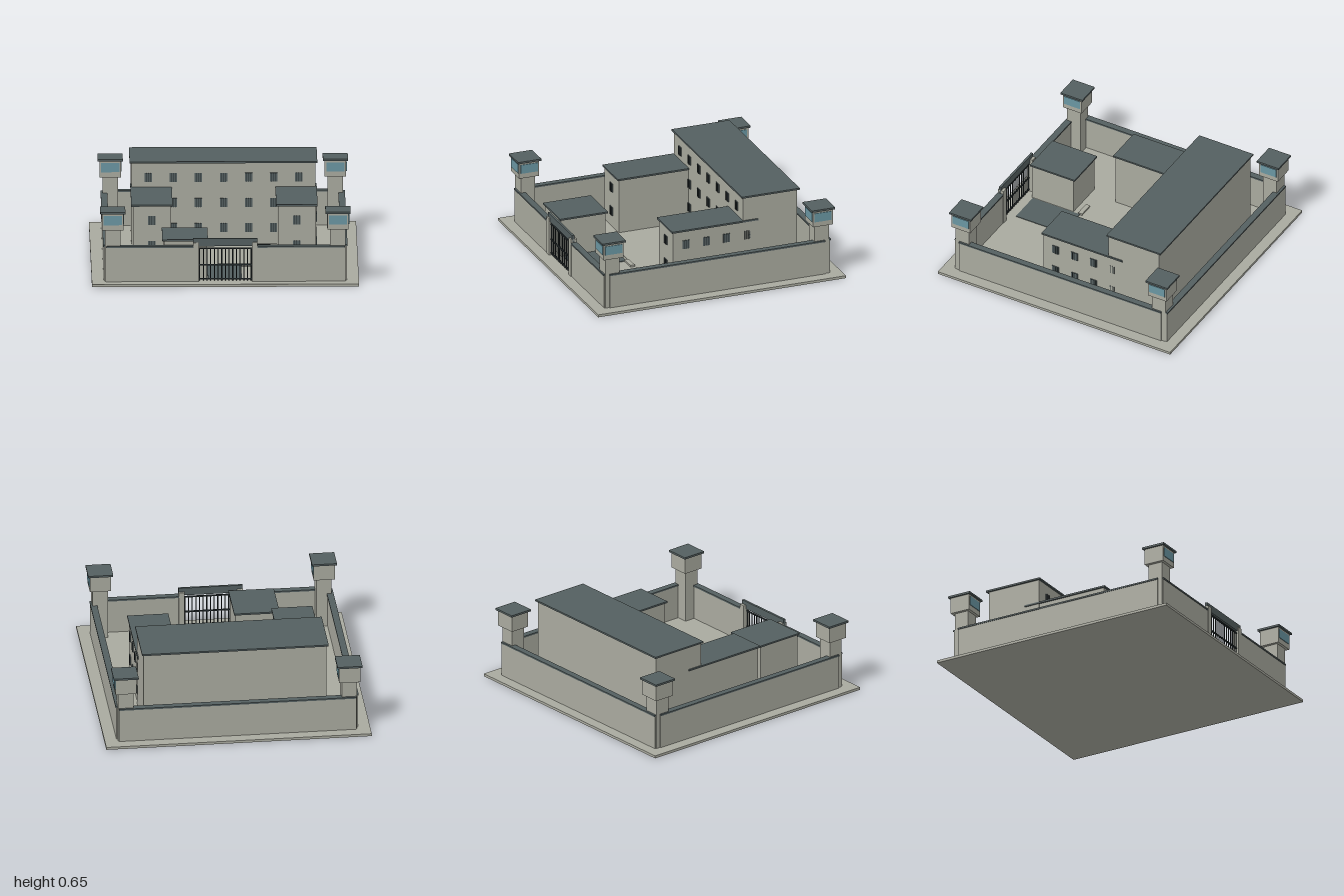
import * as THREE from 'three';

const material = (name, color) => {
  const m = new THREE.MeshStandardMaterial({ color });
  m.name = name;
  return m;
};

export function createModel() {
  const concrete = material('concrete', 0xa9aa9f);
  const slate = material('slate', 0x545f60);
  const glass = material('blue glass', 0x6a96a2);
  const iron = material('dark iron', 0x283032);

  const model = new THREE.Group();
  model.name = 'walledCompound';

  const group = (name, parent = model) => {
    const g = new THREE.Group();
    g.name = name;
    parent.add(g);
    return g;
  };
  // Box given by its extents on each axis
  const box = (parent, name, mat, [x0, x1], [y0, y1], [z0, z1]) => {
    const mesh = new THREE.Mesh(new THREE.BoxGeometry(x1 - x0, y1 - y0, z1 - z0), mat);
    mesh.position.set((x0 + x1) / 2, (y0 + y1) / 2, (z0 + z1) / 2);
    mesh.name = name;
    parent.add(mesh);
    return mesh;
  };
  // Barred window facing +z, turned to face +x when asked
  const addWindow = (parent, x, y, z, facesSide = false) => {
    const w = group('barredWindow', parent);
    box(w, 'windowPane', slate, [-0.028, 0.028], [-0.034, 0.034], [0, 0.005]);
    for (const bx of [-0.016, 0, 0.016])
      box(w, 'windowBar', iron, [bx - 0.002, bx + 0.002], [-0.034, 0.034], [0.005, 0.009]);
    w.position.set(x, y, z);
    if (facesSide) w.rotation.y = Math.PI / 2;
  };

  // Ground
  box(model, 'groundSlab', concrete, [-1, 1], [0, 0.02], [-1, 1]);
  box(model, 'driveway', slate, [-0.13, 0.125], [0.02, 0.025], [0.42, 0.825]);
  box(model, 'yardPaving', concrete, [-0.35, 0.35], [0.02, 0.022], [-0.25, 0.4]);
  box(model, 'yardLine', iron, [-0.35, 0.35], [0.02, 0.024], [-0.258, -0.252]);
  for (const [x0, x1] of [[-0.25, -0.13], [0.125, 0.245]])
    box(model, 'kerb', concrete, [x0, x1], [0.02, 0.035], [0.4, 0.435]);

  // Perimeter walls with overhanging caps
  const walls = group('perimeterWalls');
  const wall = (x, z) => {
    box(walls, 'wall', concrete, x, [0.02, 0.28], z);
    const grow = ([a, b]) => (b - a < 0.1 ? [a - 0.005, b + 0.005] : [a, b]);
    box(walls, 'wallCap', slate, grow(x), [0.28, 0.292], grow(z));
  };
  wall([-0.91, -0.87], [-0.87, 0.87]);
  wall([0.87, 0.91], [-0.87, 0.87]);
  wall([-0.895, 0.895], [-0.915, -0.875]);
  wall([-0.895, -0.24], [0.87, 0.91]);
  wall([0.24, 0.895], [0.87, 0.91]);

  // Corner watchtowers, glazed to the front and the left
  for (const sx of [-1, 1]) for (const sz of [-1, 1]) {
    const t = group('watchtower');
    box(t, 'towerShaft', concrete, [-0.058, 0.058], [0.02, 0.42], [-0.058, 0.058]);
    box(t, 'towerCabin', concrete, [-0.08, 0.08], [0.42, 0.545], [-0.08, 0.08]);
    box(t, 'towerRoof', slate, [-0.094, 0.094], [0.545, 0.56], [-0.094, 0.094]);
    box(t, 'frontGlass', glass, [-0.068, 0.068], [0.46, 0.53], [0.08, 0.085]);
    box(t, 'sideGlass', glass, [0.08, 0.085], [0.46, 0.53], [-0.068, 0.068]);
    t.position.set(sx * 0.843, 0, sz * 0.845);
  }

  // Main block
  const main = group('mainBlock');
  box(main, 'mainWalls', concrete, [-0.69, 0.69], [0.02, 0.642], [-0.73, -0.295]);
  box(main, 'mainRoof', slate, [-0.704, 0.702], [0.642, 0.655], [-0.748, -0.282]);
  for (let i = -3; i <= 3; i++) {
    addWindow(main, i * 0.188, 0.532, -0.295);
    if (Math.abs(i) < 3) for (const y of [0.337, 0.145]) addWindow(main, i * 0.188, y, -0.295);
  }

  // Side wings
  for (const s of [-1, 1]) {
    const wing = group(s > 0 ? 'leftWing' : 'rightWing');
    const span = (a, b) => (s > 0 ? [a, b] : [-b, -a]);
    box(wing, 'wingWalls', concrete, span(0.4, 0.685), [0.02, 0.445], [-0.4, 0.268]);
    box(wing, 'wingRoof', slate, span(0.388, 0.698), [0.445, 0.458], [-0.415, 0.28]);
    addWindow(wing, s * 0.543, 0.337, 0.268);
    addWindow(wing, s * 0.543, 0.145, 0.268);
    if (s > 0) for (const z of [0.165, 0, -0.163, -0.326])
      for (const y of [0.337, 0.145]) addWindow(wing, 0.685, y, z, true);
  }

  // Guardhouse by the gate
  const guard = group('guardhouse');
  box(guard, 'guardhouseWalls', concrete, [-0.46, -0.14], [0.02, 0.315], [0.48, 0.838]);
  box(guard, 'guardhouseRoof', slate, [-0.472, -0.13], [0.315, 0.328], [0.465, 0.85]);
  box(guard, 'guardhouseDoor', iron, [-0.34, -0.27], [0.02, 0.17], [0.838, 0.846]);

  // Gate with posts, lintel, bars and rails
  const gate = group('gate');
  for (const s of [-1, 1])
    box(gate, 'gatePost', concrete, [s * 0.22 - 0.022, s * 0.22 + 0.022], [0.02, 0.32], [0.865, 0.915]);
  box(gate, 'gateLintel', slate, [-0.242, 0.242], [0.29, 0.35], [0.886, 0.904]);
  for (const y of [0.038, 0.147, 0.272])
    box(gate, 'gateRail', iron, [-0.198, 0.198], [y - 0.005, y + 0.005], [0.891, 0.901]);
  const barGeometry = new THREE.CylinderGeometry(0.004, 0.004, 0.25, 8);
  for (let i = 0; i < 15; i++) {
    const bar = new THREE.Mesh(barGeometry, iron);
    bar.name = 'gateBar';
    bar.position.set(-0.193 + i * 0.0276, 0.15, 0.896);
    gate.add(bar);
  }

  return model;
}
